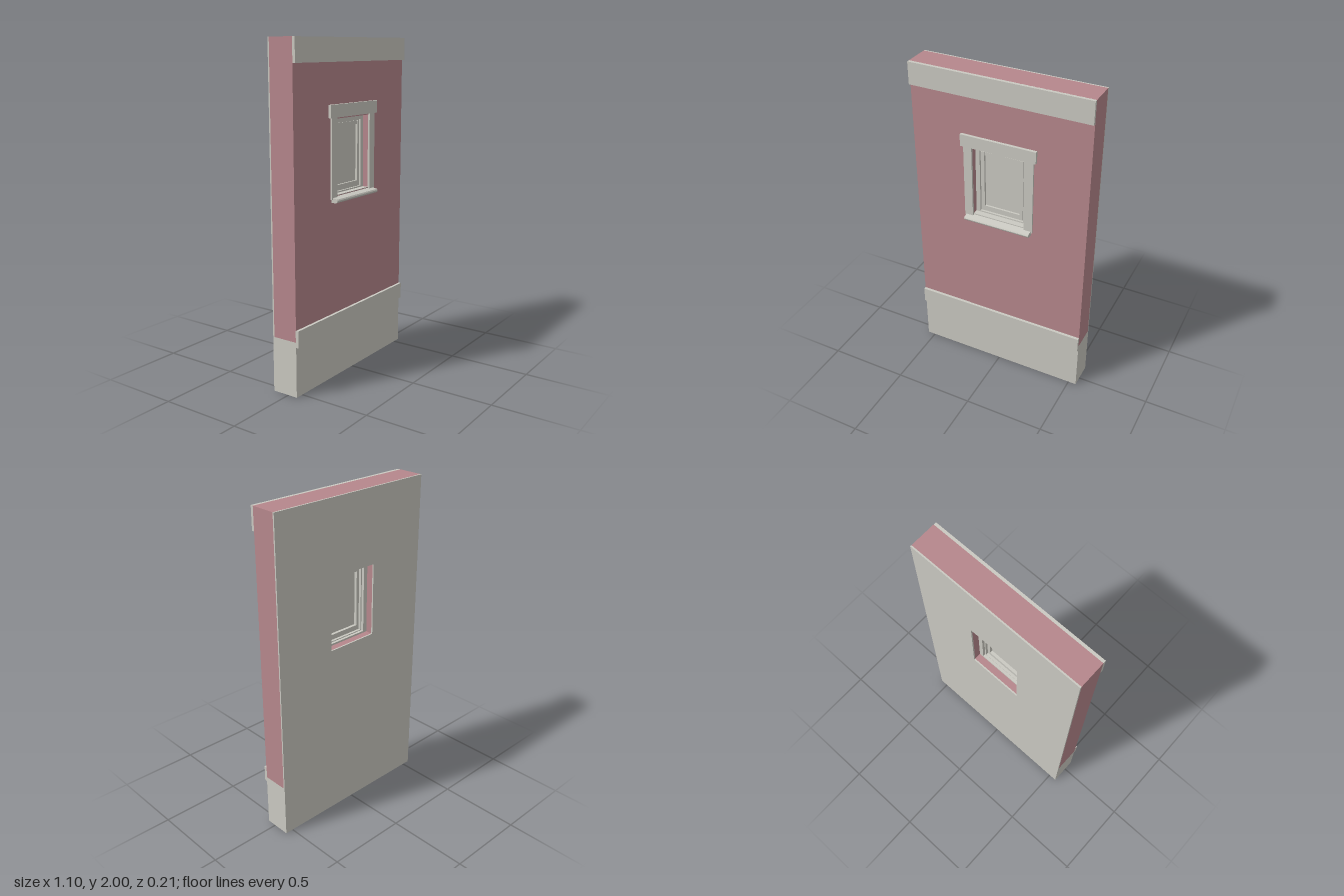
import * as THREE from 'three';

const stone = new THREE.MeshStandardMaterial({ color: 0xcac9c1 });
stone.name = 'pale stone';
const paint = new THREE.MeshStandardMaterial({ color: 0xb6878c });
paint.name = 'dusty pink';

const WIDTH = 1.1, BACK = -0.105, PLASTER = -0.096, FACE = 0.061;
// Wall opening as x half width, bottom, top
const OPENING = [0.167, 1.105, 1.548];

export function createModel() {
  const model = new THREE.Group();
  model.name = 'wallWithWindow';

  const add = (name, geometry, material, parent = model) => {
    const mesh = new THREE.Mesh(geometry, material);
    mesh.name = name;
    parent.add(mesh);
    return mesh;
  };

  // Box given by its limits, centred on x
  const block = (name, halfX, y0, y1, z0, z1, material, parent) => {
    const mesh = add(name, new THREE.BoxGeometry(halfX * 2, y1 - y0, z1 - z0), material, parent);
    mesh.position.set(0, (y0 + y1) / 2, (z0 + z1) / 2);
    return mesh;
  };

  const trace = (path, [half, y0, y1]) => path.moveTo(-half, y0)
    .lineTo(half, y0).lineTo(half, y1).lineTo(-half, y1).closePath();

  // Rectangular slab with a rectangular hole
  const ring = (name, outer, inner, z0, z1, material, parent) => {
    const shape = trace(new THREE.Shape(), outer);
    shape.holes.push(trace(new THREE.Path(), inner));
    const geometry = new THREE.ExtrudeGeometry(shape, { depth: z1 - z0, bevelEnabled: false });
    geometry.translate(0, 0, z0);
    return add(name, geometry, material, parent);
  };

  // Wall layers and horizontal bands
  const half = WIDTH / 2;
  block('plinth', half, 0, 0.33, PLASTER, FACE, stone);
  ring('wall', [half, 0.33, 2], OPENING, PLASTER, FACE, paint);
  ring('backLining', [half, 0, 2], OPENING, BACK, PLASTER, stone);
  block('plinthBand', half, 0.3, 0.4, FACE - 0.002, 0.078, stone);
  block('topBand', half, 1.865, 2, FACE - 0.002, 0.078, stone);

  const window = new THREE.Group();
  window.name = 'window';
  model.add(window);

  // Casing on the wall face: two jambs and a wider head
  for (const side of [-1, 1]) {
    const jamb = block('casingJamb', 0.026, 1.09, 1.556, FACE - 0.002, 0.072, stone, window);
    jamb.position.x = side * 0.193;
  }
  block('casingHead', 0.235, 1.556, 1.63, FACE - 0.002, 0.079, stone, window);

  // Sloping sill with a rounded nose, profile in (z, y)
  const profile = new THREE.Shape();
  profile.moveTo(FACE - 0.002, 1.07);
  profile.lineTo(0.09, 1.07);
  profile.quadraticCurveTo(0.105, 1.073, 0.105, 1.086);
  profile.lineTo(0.1, 1.093);
  profile.lineTo(FACE - 0.002, 1.102);
  profile.closePath();
  const sill = new THREE.ExtrudeGeometry(profile, { depth: 0.42, bevelEnabled: false, curveSegments: 5 });
  sill.rotateY(-Math.PI / 2);
  sill.translate(0.21, 0, 0);
  // The turn sends the profile's first axis to +z
  add('sill', sill, stone, window);
  block('innerSill', 0.167, 1.1, 1.108, 0.02, FACE, stone, window);

  // Fixed frame stepping in to the sash
  ring('frame', OPENING, [0.14, 1.116, 1.522], -0.055, 0.025, stone, window);
  ring('stop', [0.141, 1.115, 1.523], [0.133, 1.121, 1.514], -0.038, 0.012, stone, window);

  // Sash: stiles, rails, and a flat panel
  for (const side of [-1, 1]) {
    const stile = block('sashStile', 0.01, 1.12, 1.515, -0.022, 0.018, stone, window);
    stile.position.x = side * 0.124;
  }
  block('sashTopRail', 0.115, 1.494, 1.515, -0.022, 0.016, stone, window);
  block('sashBottomRail', 0.115, 1.12, 1.152, -0.022, 0.016, stone, window);
  block('panel', 0.116, 1.15, 1.496, -0.004, 0.004, stone, window);

  return model;
}
